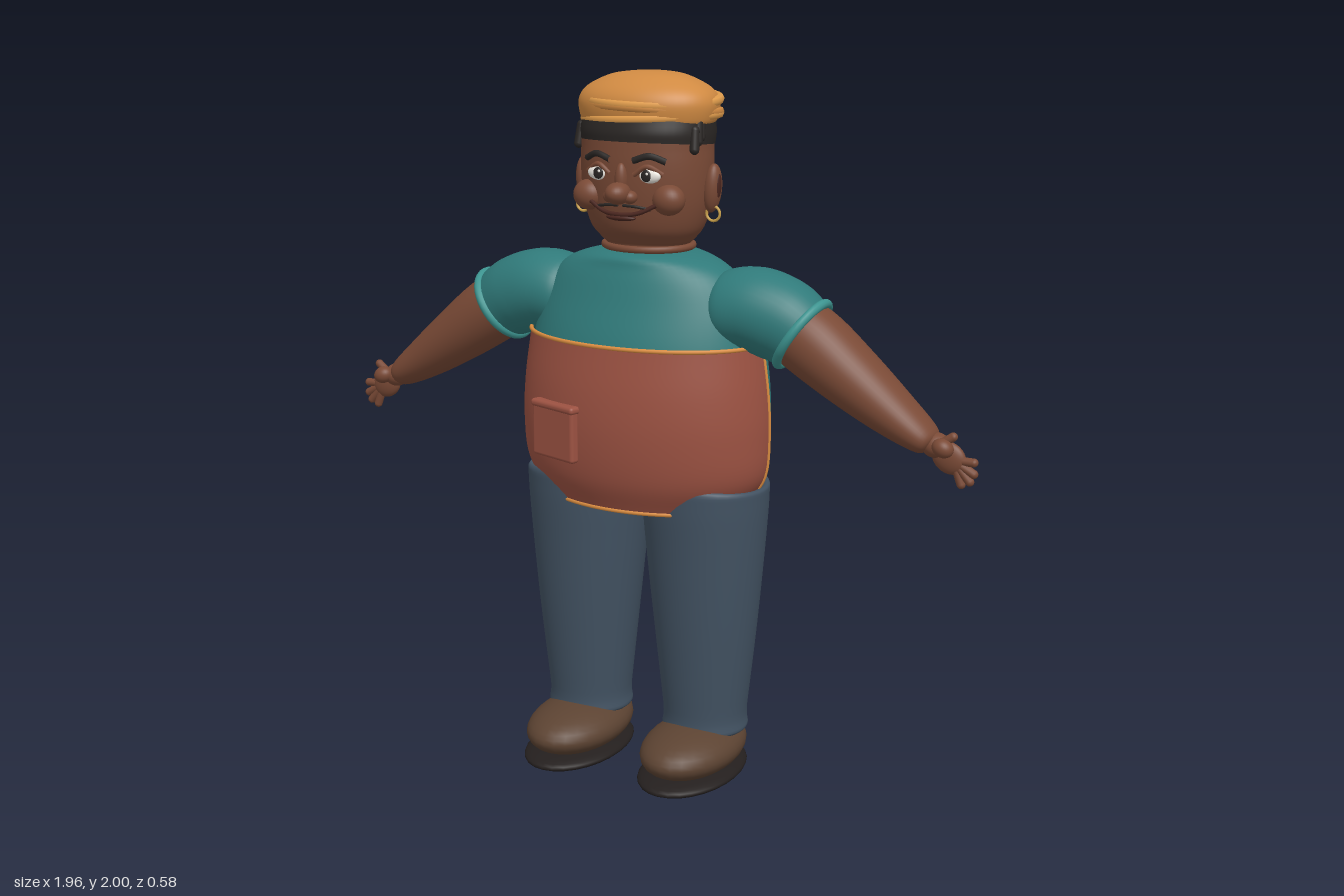
import * as THREE from 'three';
import { RoundedBoxGeometry } from 'three/addons/geometries/RoundedBoxGeometry.js';

const mat = (color) => new THREE.MeshStandardMaterial({ color, side: THREE.DoubleSide });
const V = (x, y, z = 0) => new THREE.Vector3(x, y, z);

// Rows are [x, y, radius across, depth to front, depth to back] along a path in the xy plane.
function skin(rows) {
  const path = new THREE.CatmullRomCurve3(rows.map((r) => V(r[0], r[1])), false, 'catmullrom');
  const size = new THREE.CatmullRomCurve3(rows.map((r) => V(r[2], r[3], r[4])), false, 'catmullrom');
  return (t, a) => {
    const c = path.getPoint(t), d = path.getTangent(t), s = size.getPoint(t);
    const u = Math.max(s.x, 0.001) * Math.cos(a), sn = Math.sin(a);
    return V(c.x + d.y * u, c.y - d.x * u, sn * Math.max(sn > 0 ? s.y : s.z, 0.001));
  };
}

// Surface over the skin function; a full turn shares its seam vertices.
function surface(f, nt, na = 40, a0 = 0, a1 = Math.PI * 2) {
  const closed = a1 - a0 > 6.28, cols = closed ? na : na + 1;
  const pos = [], idx = [];
  for (let i = 0; i <= nt; i++) {
    for (let j = 0; j < cols; j++) pos.push(...f(i / nt, a0 + ((a1 - a0) * j) / na).toArray());
  }
  for (let i = 0; i < nt; i++) {
    for (let j = 0; j < na; j++) {
      const p = i * cols + j, q = i * cols + ((j + 1) % cols);
      idx.push(p, p + cols, q, q, p + cols, q + cols);
    }
  }
  const g = new THREE.BufferGeometry();
  g.setAttribute('position', new THREE.Float32BufferAttribute(pos, 3));
  g.setIndex(idx);
  g.computeVertexNormals();
  return g;
}

export function createModel() {
  const root = new THREE.Group();
  const skinTone = mat(0x7a4a36), shirt = mat(0x307a7a), cuffs = mat(0x3d9490), pants = mat(0x425262);
  const cloth = mat(0x9c5242), trim = mat(0xd98c40), hat = mat(0xd08a42), hatLight = mat(0xe09c4c);
  const hair = mat(0x2a2624), leather = mat(0x5c4332), rubber = mat(0x241f1e);
  const white = mat(0xf0ece4), lip = mat(0x4a261f), gold = mat(0xc9a04a);

  const add = (name, geo, m) => {
    const mesh = new THREE.Mesh(geo, m);
    mesh.name = name;
    root.add(mesh);
    return mesh;
  };
  const ball = (name, m, p, r, rz = 0) => {
    const b = add(name, new THREE.SphereGeometry(1, 28, 18), m);
    b.position.set(...p);
    b.scale.set(...r);
    b.rotation.z = rz;
    return b;
  };
  const cord = (name, m, pts, r, closed = false) =>
    add(name, new THREE.TubeGeometry(new THREE.CatmullRomCurve3(pts, closed), 48, r, 8, closed), m);
  const rod = (name, m, a, b, r) => {
    const d = b.clone().sub(a);
    const c = add(name, new THREE.CapsuleGeometry(r, d.length(), 6, 12), m);
    c.position.copy(a).lerp(b, 0.5);
    c.quaternion.setFromUnitVectors(V(0, 1), d.normalize());
  };

  // Shirt body
  add('shirtBody', surface(skin([
    [0, 0.805, 0.001, 0.001, 0.001], [0, 0.815, 0.29, 0.185, 0.225], [0, 0.9, 0.35, 0.222, 0.25],
    [0, 1.02, 0.363, 0.24, 0.275], [0, 1.14, 0.358, 0.238, 0.288], [0, 1.27, 0.342, 0.216, 0.262],
    [0, 1.38, 0.312, 0.18, 0.21], [0, 1.47, 0.25, 0.15, 0.155], [0, 1.512, 0.14, 0.125, 0.125],
    [0, 1.522, 0.001, 0.001, 0.001]]), 54, 64), shirt);

  // Apron wrapped round the front half, with piping on its edges
  const apron = skin([[0, 0.81, 0.302, 0.2, 0.2], [0, 0.9, 0.364, 0.237, 0.237], [0, 1.02, 0.376, 0.253, 0.253],
    [0, 1.14, 0.37, 0.25, 0.25], [0, 1.275, 0.352, 0.23, 0.23]]);
  const a0 = -0.04, a1 = Math.PI + 0.04;
  add('apron', surface(apron, 24, 48, a0, a1), cloth);
  const steps = [...Array(25).keys()].map((i) => i / 24);
  for (const t of [0, 1]) cord('apronPiping', trim, steps.map((k) => apron(t, a0 + (a1 - a0) * k)), 0.006);
  for (const a of [a0, a1]) cord('apronSidePiping', trim, steps.map((k) => apron(k, a)), 0.005);
  const pocket = add('pocket', new RoundedBoxGeometry(0.165, 0.15, 0.03, 3, 0.01), cloth);
  pocket.position.set(-0.163, 1.02, 0.232);
  const flap = add('pocketHem', new RoundedBoxGeometry(0.172, 0.022, 0.038, 3, 0.01), cloth);
  flap.position.set(-0.163, 1.095, 0.232);
  pocket.rotation.y = flap.rotation.y = -0.31;

  // Head and neck
  add('head', surface(skin([
    [0, 1.46, 0.12, 0.095, 0.125], [0, 1.525, 0.118, 0.085, 0.12], [0, 1.545, 0.135, 0.095, 0.125],
    [0, 1.58, 0.163, 0.122, 0.14], [0, 1.64, 0.182, 0.138, 0.15], [0, 1.71, 0.19, 0.146, 0.155],
    [0, 1.79, 0.19, 0.146, 0.157], [0, 1.86, 0.18, 0.135, 0.155], [0, 1.93, 0.1, 0.08, 0.1]]), 48, 48), skinTone);
  const collar = add('collar', new THREE.TorusGeometry(0.125, 0.01, 10, 48), skinTone);
  collar.rotation.x = Math.PI / 2;
  collar.position.set(0, 1.525, -0.01);
  collar.scale.y = 0.9;

  // Face
  ball('nose', skinTone, [0, 1.685, 0.165], [0.034, 0.03, 0.042]);
  ball('noseBridge', skinTone, [0, 1.72, 0.145], [0.018, 0.045, 0.02]);
  cord('smile', lip, [V(-0.1, 1.655, 0.135), V(-0.05, 1.632, 0.15), V(0, 1.627, 0.156), V(0.05, 1.632, 0.15), V(0.1, 1.655, 0.135)], 0.006);
  ball('lowerLip', lip, [0, 1.618, 0.148], [0.045, 0.009, 0.016]);
  for (const s of [1, -1]) {
    ball('nostril', skinTone, [s * 0.03, 1.675, 0.152], [0.02, 0.018, 0.022]);
    ball('cheek', skinTone, [s * 0.122, 1.668, 0.105], [0.046, 0.042, 0.04]);
    ball('eye', white, [s * 0.075, 1.733, 0.13], [0.036, 0.021, 0.014]);
    ball('iris', hair, [s * 0.073, 1.733, 0.142], [0.015, 0.016, 0.005]);
    ball('highlight', white, [s * 0.073 + 0.005, 1.739, 0.147], [0.004, 0.004, 0.002]);
    cord('eyelid', skinTone, [V(s * 0.036, 1.734, 0.143), V(s * 0.074, 1.757, 0.139), V(s * 0.114, 1.736, 0.123)], 0.007);
    cord('eyebrow', hair, [V(s * 0.035, 1.772, 0.145), V(s * 0.08, 1.785, 0.137), V(s * 0.12, 1.77, 0.118)], 0.009);
    cord('moustache', hair, [V(s * 0.008, 1.652, 0.152), V(s * 0.045, 1.65, 0.15), V(s * 0.085, 1.643, 0.138)], 0.004);
    ball('ear', skinTone, [s * 0.198, 1.692, -0.005], [0.025, 0.067, 0.03], s * -0.08);
    ball('earHollow', lip, [s * 0.214, 1.695, -0.002], [0.01, 0.04, 0.015], s * -0.08);
    const ring = add('earring', new THREE.TorusGeometry(0.02, 0.004, 8, 24), gold);
    ring.position.set(s * 0.203, 1.624, 0);
    for (const [z, y] of [[0.065, 1.8], [0.045, 1.82], [0.03, 1.83]]) {
      rod('hairLock', hair, V(s * 0.178, y, z), V(s * 0.174, y + 0.05, z - 0.01), 0.013);
    }
  }

  // Hair band under the hat, longer at the back
  const band = skin([[0, 1.81, 0.19, 0.147, 0.17], [0, 1.84, 0.192, 0.147, 0.182], [0, 1.88, 0.188, 0.135, 0.185]]);
  add('hair', surface((t, a) => {
    const p = band(t, a);
    p.y += (1 - t) * p.z * 0.07;
    return p;
  }, 8, 48), hair);

  // Knitted hat with wound bands and a bobble
  add('hat', surface(skin([
    [0, 1.855, 0.18, 0.12, 0.175], [0, 1.875, 0.195, 0.132, 0.187], [0, 1.92, 0.2, 0.135, 0.19],
    [0, 1.955, 0.176, 0.115, 0.168], [0, 1.985, 0.115, 0.07, 0.118], [0, 1.996, 0.06, 0.03, 0.068],
    [0, 1.999, 0.001, 0.001, 0.001]]), 40, 48), hat);
  [[1.877, 0.05], [1.9, -0.06], [1.925, 0.05]].forEach(([y, tilt], i) => {
    const pts = [...Array(32).keys()].map((k) => {
      const a = (k / 32) * Math.PI * 2;
      return V(0.19 * Math.cos(a), y + tilt * 0.2 * Math.cos(a + i), -0.028 + 0.155 * Math.sin(a));
    });
    cord('hatBand', i === 1 ? hat : hatLight, pts, 0.014, true);
  });
  ball('hatBobble', hatLight, [0, 1.952, -0.158], [0.072, 0.032, 0.036]);

  for (const s of [1, -1]) {
    // Sleeve, cuff and arm
    add('sleeve', surface(skin([[s * 0.225, 1.36, 0.07, 0.08, 0.1], [s * 0.255, 1.365, 0.105, 0.115, 0.14],
      [s * 0.33, 1.372, 0.115, 0.122, 0.155], [s * 0.41, 1.35, 0.115, 0.115, 0.14],
      [s * 0.47, 1.318, 0.106, 0.103, 0.112]]), 28), shirt);
    const cuff = add('sleeveCuff', new THREE.TorusGeometry(0.104, 0.013, 12, 40), cuffs);
    cuff.position.set(s * 0.472, 1.317, -0.003);
    cuff.quaternion.setFromUnitVectors(V(0, 0, 1), V(s * 0.83, -0.55).normalize());
    add('arm', surface(skin([[s * 0.4, 1.36, 0.09, 0.09, 0.1], [s * 0.5, 1.3, 0.097, 0.098, 0.112],
      [s * 0.61, 1.222, 0.086, 0.094, 0.105], [s * 0.73, 1.138, 0.066, 0.08, 0.086],
      [s * 0.83, 1.073, 0.042, 0.06, 0.06], [s * 0.85, 1.06, 0.02, 0.025, 0.025],
      [s * 0.853, 1.058, 0.001, 0.001, 0.001]]), 40), skinTone);

    // Hand
    ball('wrist', skinTone, [s * 0.86, 1.06, 0], [0.038, 0.034, 0.038]);
    ball('palm', skinTone, [s * 0.898, 1.03, 0], [0.05, 0.042, 0.02], s * -0.6);
    ball('thumbBase', skinTone, [s * 0.89, 1.062, 0.03], [0.03, 0.025, 0.026], s * -0.4);
    rod('thumb', skinTone, V(s * 0.88, 1.07, 0.022), V(s * 0.913, 1.092, 0.016), 0.012);
    for (const [x, y] of [[0.966, 1.025], [0.967, 0.994], [0.957, 0.972], [0.934, 0.962]]) {
      rod('finger', skinTone, V(s * 0.91, 1.025), V(s * x, y), 0.012);
    }

    // Trouser leg, rounded at the hip
    add('trouserLeg', surface(skin([
      [s * 0.19, 0.125, 0.001, 0.001, 0.001], [s * 0.19, 0.135, 0.115, 0.108, 0.118],
      [s * 0.19, 0.2, 0.121, 0.116, 0.128], [s * 0.19, 0.45, 0.148, 0.142, 0.148],
      [s * 0.188, 0.68, 0.17, 0.162, 0.166], [s * 0.187, 0.83, 0.18, 0.174, 0.178],
      [s * 0.19, 0.895, 0.172, 0.168, 0.172], [s * 0.2, 0.93, 0.11, 0.11, 0.11],
      [s * 0.2, 0.94, 0.001, 0.001, 0.001]]), 48), pants);
    const hem = add('trouserHem', new THREE.TorusGeometry(0.115, 0.007, 8, 40), pants);
    hem.rotation.x = Math.PI / 2;
    hem.position.set(s * 0.19, 0.145, -0.004);

    // Shoe
    ball('shoe', leather, [s * 0.188, 0.098, 0.066], [0.135, 0.073, 0.212]);
    ball('shoeSole', rubber, [s * 0.188, 0.03, 0.072], [0.138, 0.03, 0.22]);
  }
  return root;
}
